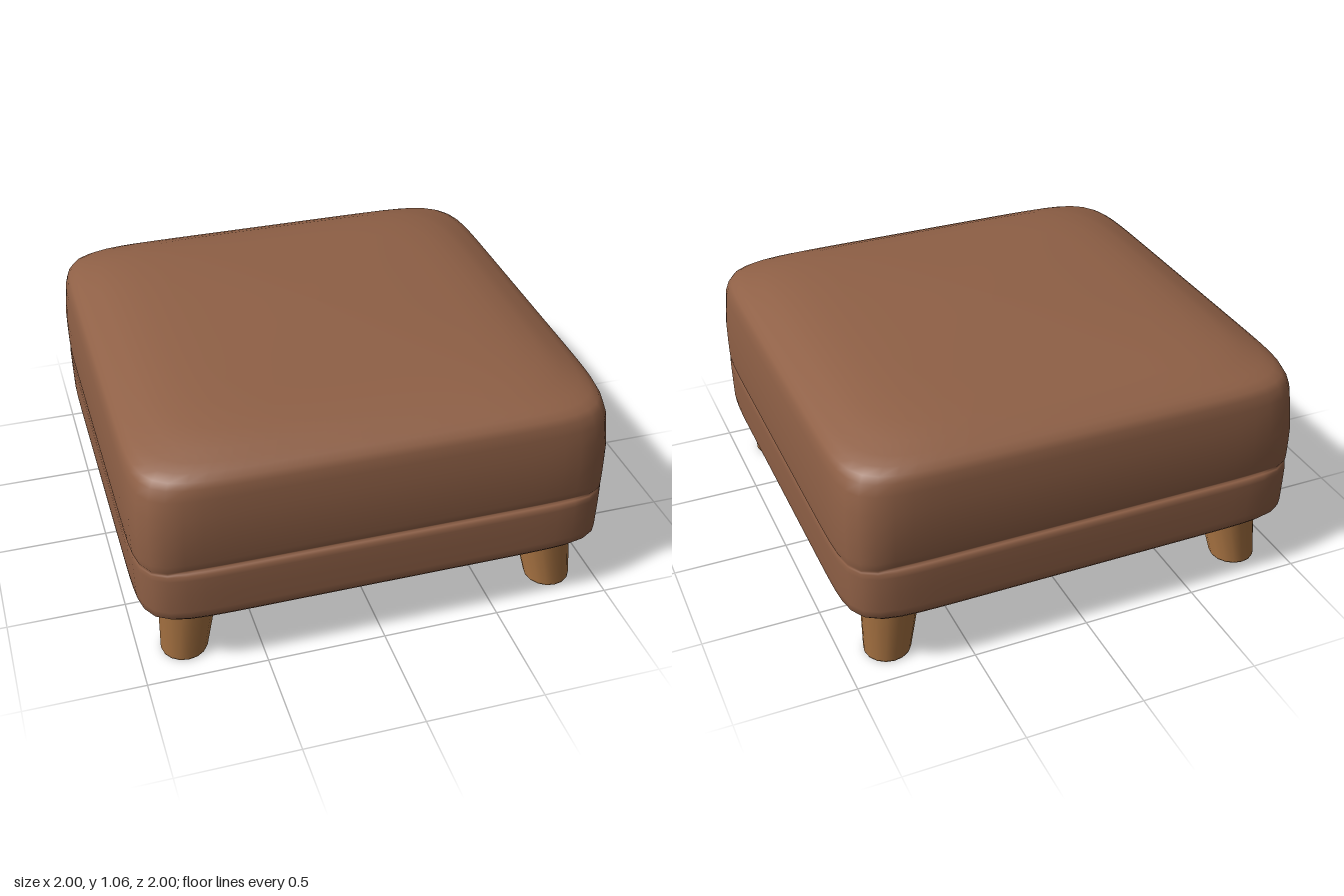
import * as THREE from 'three';

const leather = new THREE.MeshStandardMaterial({ color: 0x8f6046 });
const wood = new THREE.MeshStandardMaterial({ color: 0xac7644 });

// Cushion rings from bottom to top: [y, half width, corner squareness, seam inset]
const RINGS = [
  [0.255, 0, 12, 0], [0.256, 0.6, 12, 0], [0.258, 0.9, 12, 0], [0.265, 0.945, 12, 0],
  [0.278, 0.978, 12, 0], [0.295, 0.992, 12, 0], [0.33, 0.996, 12, 0], [0.42, 0.998, 12, 0],
  [0.49, 0.999, 12, 0], [0.51, 0.998, 12, 0.002], [0.517, 0.996, 12, 0.008], [0.522, 0.994, 12, 0.016],
  [0.53, 0.997, 12, 0.015], [0.56, 0.999, 12, 0.012], [0.62, 1, 12, 0.007], [0.7, 1, 12, 0.002],
  [0.78, 0.996, 11.5, 0], [0.86, 0.99, 11, 0], [0.905, 0.982, 10, 0], [0.93, 0.97, 9.5, 0],
  [0.95, 0.945, 9, 0], [0.966, 0.915, 8, 0], [0.99, 0.86, 7, 0], [1.013, 0.8, 6, 0],
  [1.032, 0.7, 5, 0], [1.041, 0.58, 4.5, 0], [1.049, 0.4, 4, 0], [1.055, 0.2, 4, 0], [1.057, 0, 4, 0],
];

// Lofts rounded-square rings; the seam inset only affects the front and back faces
function cushionGeometry(segments = 128) {
  const positions = [];
  const indices = [];
  for (const [y, half, n, inset] of RINGS) {
    for (let i = 0; i < segments; i++) {
      const a = (i / segments) * Math.PI * 2;
      const c = Math.cos(a);
      const s = Math.sin(a);
      const r = half / Math.pow(Math.abs(c) ** n + Math.abs(s) ** n, 1 / n);
      const x = r * c;
      const seam = Math.abs(s) > Math.abs(c) ? 1 - THREE.MathUtils.smoothstep(Math.abs(x), 0.78, 0.93) : 0;
      positions.push(x, y, r * s - Math.sign(s) * inset * seam);
    }
  }
  for (let j = 0; j < RINGS.length - 1; j++) {
    for (let i = 0; i < segments; i++) {
      const a = j * segments + i;
      const b = j * segments + ((i + 1) % segments);
      if (j > 0) indices.push(a, a + segments, b);
      if (j === 0) indices.push(a, a + segments, b + segments);
      else if (j < RINGS.length - 2) indices.push(b, a + segments, b + segments);
    }
  }
  const geometry = new THREE.BufferGeometry();
  geometry.setAttribute('position', new THREE.Float32BufferAttribute(positions, 3));
  geometry.setIndex(indices);
  geometry.computeVertexNormals();
  return geometry;
}

// Tapered foot whose axis leans outward toward its corner as it goes down
function legGeometry(sx, sz) {
  const profile = [[0, 0], [0.094, 0], [0.098, 0.008], [0.119, 0.215], [0.125, 0.225], [0.132, 0.27]]
    .map(([r, y]) => new THREE.Vector2(r, y));
  const geometry = new THREE.LatheGeometry(profile, 16);
  const p = geometry.attributes.position;
  for (let i = 0; i < p.count; i++) {
    const axis = 0.81 - 0.13 * p.getY(i);
    p.setX(i, p.getX(i) + sx * axis);
    p.setZ(i, p.getZ(i) + sz * axis);
  }
  return geometry;
}

export function createModel() {
  const model = new THREE.Group();
  model.name = 'footstool';

  const cushion = new THREE.Mesh(cushionGeometry(), leather);
  cushion.name = 'cushion';
  model.add(cushion);

  for (const [sx, side] of [[1, 'Left'], [-1, 'Right']]) {
    for (const [sz, end] of [[1, 'front'], [-1, 'back']]) {
      const leg = new THREE.Mesh(legGeometry(sx, sz), wood);
      leg.name = `${end}${side}Leg`;
      model.add(leg);
    }
  }
  return model;
}
